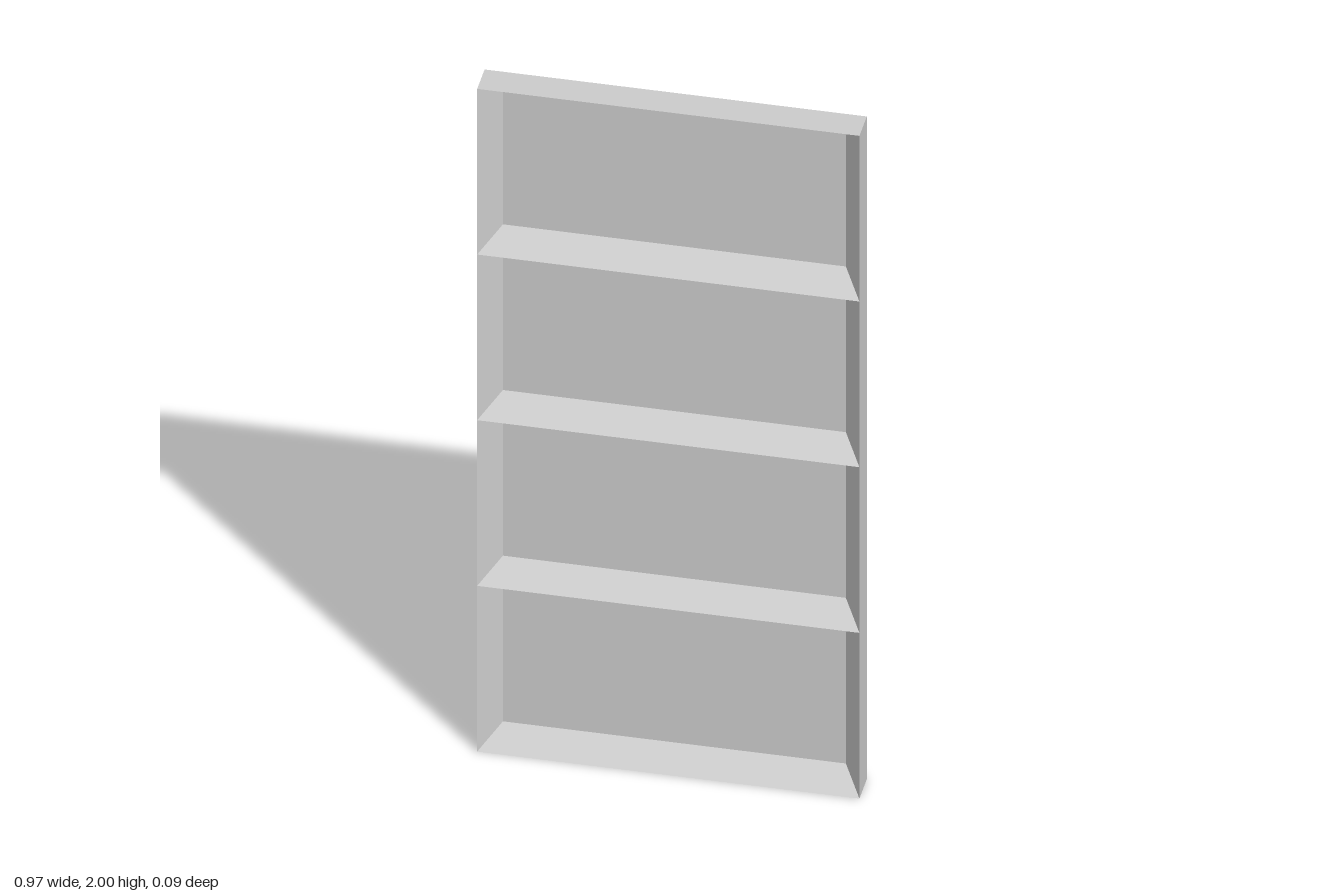
import * as THREE from 'three';

const W = 0.972, H = 2, D = 0.087; // overall size
const ROWS = 4, BEVEL = 0.05, DEPTH = 0.072; // recessed trays

const material = new THREE.MeshStandardMaterial({ color: 0xcccccc, flatShading: true });

// Four corners of a rectangle, counter-clockwise seen from the front
const rect = (w, h, z) => [[-w / 2, -h / 2, z], [w / 2, -h / 2, z], [w / 2, h / 2, z], [-w / 2, h / 2, z]];

// Joins two rectangles with four walls and closes the second one.
// The walls face inward when the first lies in front, outward when flipped.
function openBox(rim, floor, flip) {
  const quads = rim.map((p, i) => {
    const j = (i + 1) % 4;
    return [p, rim[j], floor[j], floor[i]];
  });
  quads.push(floor);
  const positions = [];
  for (const q of quads) {
    const [a, b, c, d] = flip ? [...q].reverse() : q;
    positions.push(...a, ...b, ...c, ...a, ...c, ...d);
  }
  const geometry = new THREE.BufferGeometry();
  geometry.setAttribute('position', new THREE.Float32BufferAttribute(positions, 3));
  geometry.computeVertexNormals();
  return geometry;
}

export function createModel() {
  const model = new THREE.Group();
  model.name = 'shelfPanel';

  // Outer sides and back
  const casing = new THREE.Mesh(openBox(rect(W, H, D / 2), rect(W, H, -D / 2), true), material);
  casing.name = 'casing';
  casing.position.y = H / 2;
  model.add(casing);

  // Stacked recesses with sloping walls that meet in sharp ridges
  const rowH = H / ROWS;
  const recess = openBox(rect(W, rowH, D / 2), rect(W - 2 * BEVEL, rowH - 2 * BEVEL, D / 2 - DEPTH), false);
  for (let i = 0; i < ROWS; i++) {
    const tray = new THREE.Mesh(recess, material);
    tray.name = `recess${i + 1}`;
    tray.position.y = (i + 0.5) * rowH;
    model.add(tray);
  }
  return model;
}
